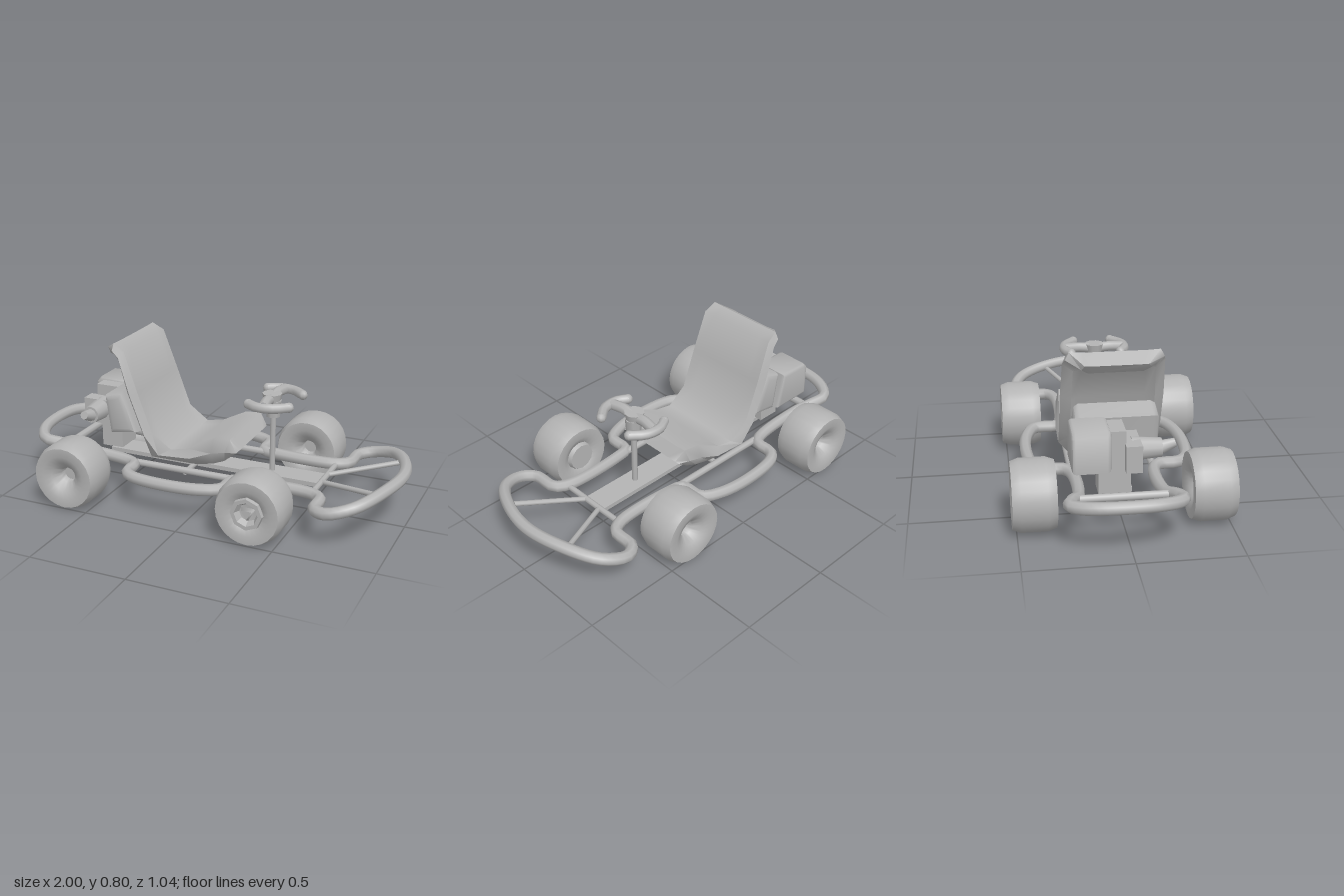
import * as THREE from 'three';
import { toCreasedNormals } from 'three/addons/utils/BufferGeometryUtils.js';

export function createModel() {
  const root = new THREE.Group();
  root.name = 'goKart';
  const body = new THREE.Group();
  body.name = 'body';
  body.position.z = -0.02;
  root.add(body);

  const grey = new THREE.MeshStandardMaterial({ color: 0xb3b3b3 });
  grey.name = 'grey';

  const V = (x, y, z) => new THREE.Vector3(x, y, z);
  const add = (name, geometry, parent = body) => {
    const mesh = new THREE.Mesh(geometry, grey);
    mesh.name = name;
    parent.add(mesh);
    return mesh;
  };
  const box = (name, x0, x1, y0, y1, z0, z1) =>
    add(name, new THREE.BoxGeometry(x1 - x0, y1 - y0, z1 - z0))
      .position.set((x0 + x1) / 2, (y0 + y1) / 2, (z0 + z1) / 2);
  // Straight round bar between two points
  const rod = (name, a, b, r, r2 = r, sides = 8) => {
    const m = add(name, new THREE.CylinderGeometry(r2, r, a.distanceTo(b), sides));
    m.position.copy(a).add(b).multiplyScalar(0.5);
    m.quaternion.setFromUnitVectors(V(0, 1, 0), b.clone().sub(a).normalize());
  };
  // Side outline (x, y) extruded across z with softened edges
  const slab = (name, pts, z0, z1, bevel) => {
    const g = new THREE.ExtrudeGeometry(new THREE.Shape(pts.map(p => new THREE.Vector2(...p))), {
      depth: z1 - z0 - 2 * bevel, bevelSize: bevel, bevelOffset: -bevel, bevelThickness: bevel, bevelSegments: 2,
    });
    g.translate(0, 0, z0 + bevel);
    add(name, toCreasedNormals(g, 0.9));
  };

  // Frame: one closed tube forming bumpers, rails and side bars (x, y, z)
  const half = [
    [0.936, 0.25, 0.18], [0.834, 0.218, 0.36], [0.717, 0.187, 0.405], [0.645, 0.177, 0.36],
    [0.631, 0.176, 0.235], [0.567, 0.176, 0.195], [0.246, 0.176, 0.195], [0.168, 0.176, 0.215],
    [0.155, 0.176, 0.33], [0.06, 0.176, 0.38], [-0.118, 0.176, 0.4], [-0.31, 0.176, 0.375],
    [-0.36, 0.176, 0.33], [-0.37, 0.176, 0.235], [-0.42, 0.176, 0.2], [-0.72, 0.2, 0.2],
    [-0.8, 0.225, 0.235], [-0.877, 0.24, 0.255], [-0.92, 0.248, 0.22], [-0.957, 0.258, 0.14],
  ].map(p => V(...p));
  const loop = [V(0.971, 0.257, 0), ...half, V(-0.971, 0.262, 0),
    ...half.map(p => V(p.x, p.y, -p.z)).reverse()];
  add('frameTube', new THREE.TubeGeometry(new THREE.CatmullRomCurve3(loop, true, 'centripetal'), 170, 0.03, 8, true));

  // Cross members and floor
  rod('frontCrossBar', V(0.577, 0.176, -0.2), V(0.577, 0.176, 0.2), 0.015);
  rod('rearCrossBar', V(-0.775, 0.215, -0.22), V(-0.775, 0.215, 0.22), 0.02);
  rod('middleCrossBar', V(-0.1, 0.165, -0.2), V(-0.1, 0.165, 0.2), 0.014);
  for (const s of [-1, 1]) {
    rod('bumperBrace', V(0.58, 0.176, s * 0.05), V(0.9, 0.235, s * 0.21), 0.013);
    rod('innerRail', V(-0.42, 0.176, s * 0.2), V(0.25, 0.176, s * 0.195), 0.018);
  }
  box('floorPlank', -0.6, 0.57, 0.15, 0.172, -0.065, 0.065);

  // Seat: cross-sections [front x, y, back x, y, half width, back recess] from top lip to front lip
  const stations = [
    [-0.55, 0.76, -0.505, 0.71, 0.16, 0], [-0.48, 0.805, -0.485, 0.735, 0.23, 0],
    [-0.42, 0.77, -0.465, 0.71, 0.24, 0.1], [-0.345, 0.565, -0.42, 0.55, 0.247, 0.4],
    [-0.27, 0.365, -0.335, 0.33, 0.247, 0.3], [-0.165, 0.29, -0.29, 0.22, 0.245, 0],
    [-0.07, 0.31, -0.04, 0.22, 0.242, 0], [0.065, 0.38, 0.05, 0.235, 0.232, 0],
    [0.15, 0.388, 0.11, 0.258, 0.225, 0], [0.193, 0.33, 0.17, 0.305, 0.2, 0],
  ];
  const pos = [], idx = [], N = 10;
  stations.forEach(([fx, fy, bx, by, w, recess]) => {
    // [blend from front to back, fraction of half width]
    const side = [[1 - recess, 0.62], [1, 0.8], [0.5, 1], [0, 0.92], [0.04, 0.66]];
    const ring = [...side.map(([t, f]) => [t, -f]), ...side.slice().reverse()];
    for (const [t, f] of ring) pos.push(fx + (bx - fx) * t, fy + (by - fy) * t, f * w);
  });
  const last = (stations.length - 1) * N;
  for (let i = 0; i < last; i += N) {
    for (let j = 0; j < N; j++) {
      const a = i + j, b = i + (j + 1) % N;
      idx.push(a, b, b + N, a, b + N, a + N);
    }
  }
  for (let k = 1; k < N - 1; k++) idx.push(0, k + 1, k, last, last + k, last + k + 1);
  const seat = new THREE.BufferGeometry();
  seat.setAttribute('position', new THREE.Float32BufferAttribute(pos, 3));
  seat.setIndex(idx);
  add('seat', toCreasedNormals(seat, 0.95));

  // Steering column and split-grip wheel
  rod('steeringShaft', V(0.297, 0.095, 0), V(0.297, 0.48, 0), 0.015);
  rod('steeringBoss', V(0.297, 0.465, 0), V(0.297, 0.55, 0), 0.036, 0.042);
  rod('steeringHub', V(0.29, 0.53, 0), V(0.29, 0.585, 0), 0.04, 0.05, 10);
  for (const s of [-1, 1]) {
    const spoke = new THREE.CatmullRomCurve3([V(0.29, 0.555, 0), V(0.29, 0.566, s * 0.07), V(0.3, 0.56, s * 0.15)]);
    add('steeringSpoke', new THREE.TubeGeometry(spoke, 6, 0.027, 8));
    const pts = [V(0.215, 0.56, s * 0.13), V(0.27, 0.56, s * 0.158), V(0.35, 0.56, s * 0.15), V(0.415, 0.56, s * 0.1)];
    add('steeringGrip', new THREE.TubeGeometry(new THREE.CatmullRomCurve3(pts), 8, 0.025, 8));
    for (const p of [pts[0], pts[3]]) add('gripEnd', new THREE.SphereGeometry(0.025, 8, 6)).position.copy(p);
  }

  // Engine behind the seat
  slab('engineCowl', [[-0.56, 0.51], [-0.455, 0.545], [-0.38, 0.33], [-0.53, 0.305]], -0.2, 0.2, 0.03);
  slab('engineBlock', [[-0.745, 0.49], [-0.72, 0.515], [-0.555, 0.515], [-0.52, 0.32], [-0.745, 0.32]], -0.23, -0.05, 0.018);
  box('engineHead', -0.7, -0.54, 0.3, 0.5, -0.06, 0.02);
  box('engineSide', -0.74, -0.53, 0.31, 0.44, 0.015, 0.09);
  box('engineMount', -0.66, -0.54, 0.17, 0.32, -0.1, 0.05);
  rod('exhaust', V(-0.645, 0.39, 0.05), V(-0.645, 0.39, 0.19), 0.058, 0.045, 10);
  rod('exhaustTip', V(-0.645, 0.39, 0.19), V(-0.645, 0.41, 0.255), 0.034, 0.022, 8);

  // Wheels: dished tyres turned about z
  const lathe = (pts, n) => new THREE.LatheGeometry(pts.map(p => new THREE.Vector2(...p)), n).rotateX(Math.PI / 2);
  const outer = [[0.1725, 0.062], [0.158, 0.102], [0.115, 0.103], [0.075, 0.085], [0.04, 0.05], [0.034, 0.02], [0, 0.02]];
  const tyre = toCreasedNormals(lathe([...outer.map(([r, h]) => [r, -h]).reverse(), ...outer], 24), 0.9);
  const hub = toCreasedNormals(lathe([[0.085, 0.07], [0.08, 0.107], [0.06, 0.107], [0.045, 0.075], [0, 0.07]], 8), 0.3);
  for (const [x, end] of [[-0.615, 'rear'], [0.374, 'front']]) {
    for (const s of [-1, 1]) {
      const wheel = new THREE.Group();
      wheel.name = end + 'Wheel';
      wheel.position.set(x, 0.1735, s > 0 ? 0.412 : -0.418);
      root.add(wheel);
      add('tyre', tyre, wheel);
      if (end === 'front' && s > 0) {
        add('outerHub', hub, wheel);
        const nut = add('hubNut', new THREE.CylinderGeometry(0.03, 0.045, 0.03, 3), wheel);
        nut.rotation.x = Math.PI / 2;
        nut.position.z = 0.085;
        const cap = add('innerHub', new THREE.CylinderGeometry(0.085, 0.07, 0.04, 12), wheel);
        cap.rotation.x = Math.PI / 2;
        cap.position.z = -0.087;
      }
    }
  }
  return root;
}
